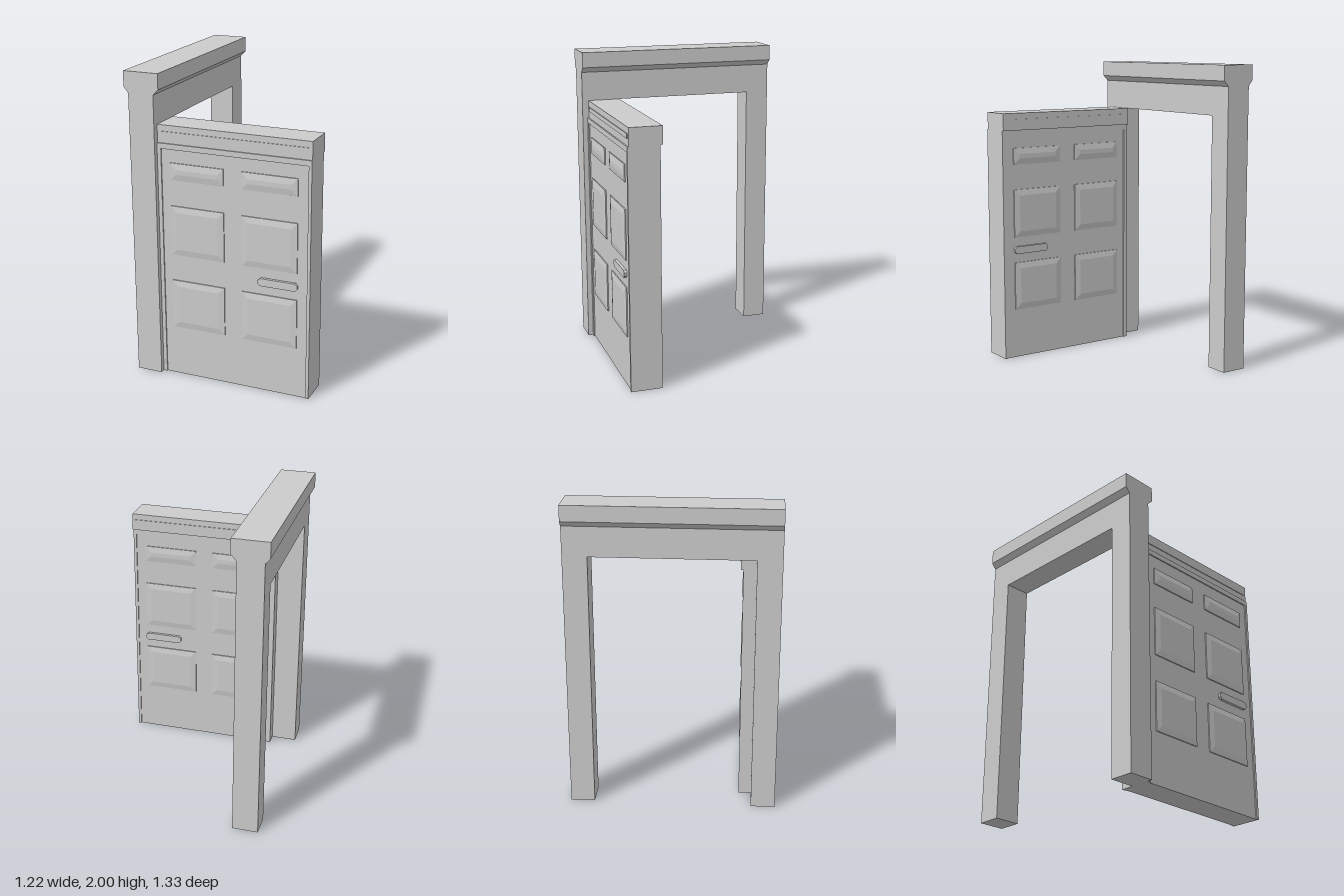
import * as THREE from 'three';

const material = new THREE.MeshStandardMaterial({ color: 0xcccccc, flatShading: true });

function add(parent, name, geometry) {
  const mesh = new THREE.Mesh(geometry, material);
  mesh.name = name;
  parent.add(mesh);
  return mesh;
}

// Box given by its two opposite corners
function block(parent, name, [x0, y0, z0], [x1, y1, z1]) {
  const mesh = add(parent, name, new THREE.BoxGeometry(x1 - x0, y1 - y0, z1 - z0));
  mesh.position.set((x0 + x1) / 2, (y0 + y1) / 2, (z0 + z1) / 2);
  return mesh;
}

// Outline in x, y swept from z0 to z1, with an optional bevel of both faces
function sweep(parent, name, points, z0, z1, rise = 0, inset = 0) {
  const shape = new THREE.Shape(points.map(([x, y]) => new THREE.Vector2(x, y)));
  const geometry = new THREE.ExtrudeGeometry(shape, {
    depth: z1 - z0 - 2 * rise, bevelEnabled: rise > 0, bevelSegments: 1,
    bevelThickness: rise, bevelSize: inset, bevelOffset: -inset,
  });
  geometry.translate(0, 0, z0 + rise);
  return add(parent, name, geometry);
}

const rect = (x0, y0, x1, y1) => [[x0, y0], [x1, y0], [x1, y1], [x0, y1]];

// Portal outline: two legs and a beam
const portal = (outer0, inner0, inner1, outer1, innerTop, top) => [
  [outer0, 0], [inner0, 0], [inner0, innerTop], [inner1, innerTop],
  [inner1, 0], [outer1, 0], [outer1, top], [outer0, top],
];

export function createModel() {
  const model = new THREE.Group();
  model.name = 'openDoorway';

  // Doorway: posts and lintel running along z
  const doorway = new THREE.Group();
  doorway.name = 'doorway';
  model.add(doorway);
  const posts = sweep(doorway, 'postsAndLintel',
    portal(-0.665, -0.51, 0.51, 0.665, 1.675, 1.88), 0, 0.17);
  posts.rotation.y = -Math.PI / 2;
  posts.position.x = -0.41;

  // Cornice with sloping underside
  sweep(doorway, 'cornice', [
    [-0.58, 1.865], [-0.41, 1.865], [-0.375, 1.9], [-0.375, 2],
    [-0.61, 2], [-0.61, 1.9],
  ], -0.665, 0.665);

  // Open door, standing at a right angle to the doorway
  const door = new THREE.Group();
  door.name = 'door';
  model.add(door);
  sweep(door, 'doorSurround', portal(-0.41, -0.385, 0.585, 0.605, 1.525, 1.56), 0.427, 0.632);
  block(door, 'doorLeaf', [-0.39, 0, 0.435], [0.59, 1.53, 0.624]);
  block(door, 'header', [-0.41, 1.56, 0.412], [0.605, 1.675, 0.623]);
  sweep(door, 'headerStrip', rect(-0.385, 1.605, 0.585, 1.635), 0.407, 0.628);

  // Raised panels, showing on both faces
  for (const [x0, x1] of [[-0.325, 0.035], [0.155, 0.52]]) {
    for (const [y0, y1] of [[0.335, 0.66], [0.835, 1.16], [1.33, 1.44]]) {
      sweep(door, 'raisedPanel', rect(x0, y0, x1, y1), 0.421, 0.638, 0.007, 0.04);
    }
  }

  // Handle plate with clipped ends, showing on both faces
  sweep(door, 'handle', [
    [0.28, 0.722], [0.51, 0.722], [0.525, 0.737], [0.525, 0.757],
    [0.51, 0.772], [0.28, 0.772], [0.265, 0.757], [0.265, 0.737],
  ], 0.416, 0.643);

  return model;
}
